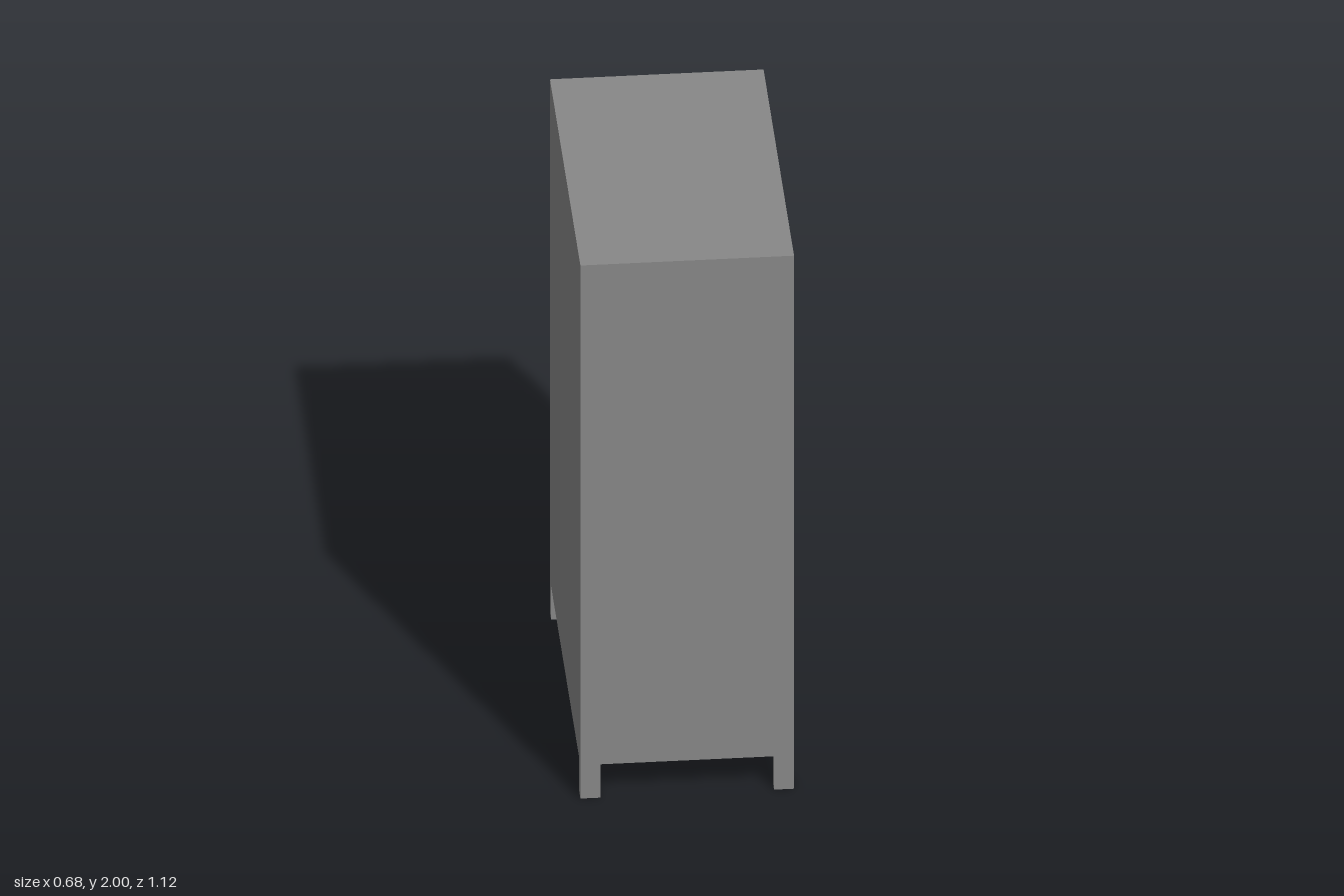
import * as THREE from 'three';

const W = 0.682, D = 1.12, TOP = 2, BASE = 0.125;   // overall width (x), depth (z), heights
const BACK = 0.106;                                 // thickness of the closed side
const OPEN = { z: 0.516, low: 0.163, high: 1.946 }; // opening toward +x
const LEG = { x: 0.064, z: 0.044 };

export function createModel() {
  const cabinet = new THREE.Group();
  cabinet.name = 'cabinet';
  const material = new THREE.MeshStandardMaterial({ color: 0x888888 });

  const add = (name, geometry, x, y, z) => {
    const mesh = new THREE.Mesh(geometry, material);
    mesh.name = name;
    mesh.position.set(x, y, z);
    cabinet.add(mesh);
  };

  // Carcass: rectangular frame swept along x, giving top, floor and side walls
  const frame = new THREE.Shape([
    new THREE.Vector2(-D / 2, BASE), new THREE.Vector2(D / 2, BASE),
    new THREE.Vector2(D / 2, TOP), new THREE.Vector2(-D / 2, TOP),
  ]);
  frame.holes.push(new THREE.Path([
    new THREE.Vector2(-OPEN.z, OPEN.low), new THREE.Vector2(-OPEN.z, OPEN.high),
    new THREE.Vector2(OPEN.z, OPEN.high), new THREE.Vector2(OPEN.z, OPEN.low),
  ]));
  const carcass = new THREE.ExtrudeGeometry(frame, { depth: W - BACK, bevelEnabled: false });
  carcass.rotateY(Math.PI / 2);
  add('carcass', carcass, -W / 2 + BACK, 0, 0);

  // Solid panel closing the side opposite the opening
  add('backPanel', new THREE.BoxGeometry(BACK, TOP - BASE, D),
    -W / 2 + BACK / 2, (TOP + BASE) / 2, 0);

  // Four short legs flush with the outer corners
  for (const sx of [-1, 1]) {
    for (const sz of [-1, 1]) {
      add(`${sz > 0 ? 'front' : 'back'}${sx > 0 ? 'Left' : 'Right'}Leg`,
        new THREE.BoxGeometry(LEG.x, BASE, LEG.z),
        sx * (W - LEG.x) / 2, BASE / 2, sz * (D - LEG.z) / 2);
    }
  }
  return cabinet;
}
